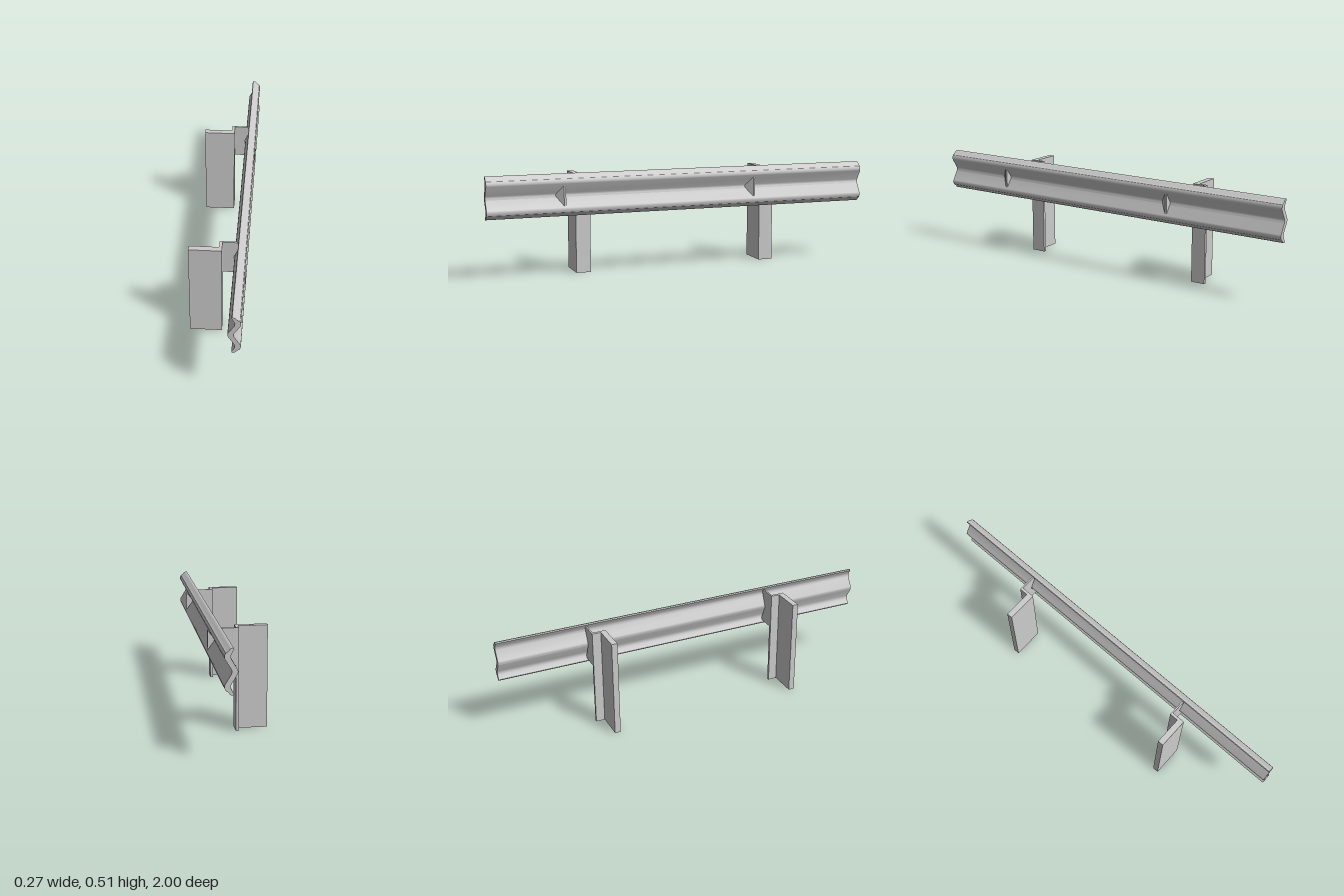
import * as THREE from 'three';
import { toCreasedNormals } from 'three/addons/utils/BufferGeometryUtils.js';

const MID = 0.41; // height of the rail's centre line
const material = new THREE.MeshStandardMaterial({ color: 0xcccccc });

// Closed shape from [x, y] points
function shapeOf(points) {
  return new THREE.Shape(points.map(([x, y]) => new THREE.Vector2(x, y)));
}

// Mirrors an upper half (top to centre, last point on the axis) below MID
function mirrored(upper) {
  const lower = upper.slice(0, -1).reverse().map(([x, y]) => [x, 2 * MID - y]);
  return [...upper, ...lower];
}

function extrude(points, depth, z) {
  const geometry = new THREE.ExtrudeGeometry(shapeOf(points), { depth, bevelEnabled: false });
  geometry.translate(0, 0, z);
  return geometry;
}

function addMesh(group, name, geometry) {
  const mesh = new THREE.Mesh(geometry, material);
  mesh.name = name;
  group.add(mesh);
}

// W-beam: corrugated sheet section swept along z
function railGeometry() {
  const outer = mirrored([
    [0.097, 0.515], [0.103, 0.514], [0.112, 0.51], [0.119, 0.5], [0.131, 0.493],
    [0.135, 0.484], [0.136, 0.476], [0.135, 0.468], [0.131, 0.461], [0.106, 0.42], [0.103, MID],
  ]);
  const inner = mirrored([
    [0.094, 0.509], [0.106, 0.488], [0.109, 0.479], [0.107, 0.466], [0.079, 0.42], [0.076, MID],
  ]);
  return toCreasedNormals(extrude([...outer, ...inner.reverse()], 2, -1), 0.6);
}

// Reflector: wedge sitting in the valley of the rail, sloping towards +z
function reflectorGeometry() {
  const h = 0.05, face = 0.136, root = 0.1;
  const p = [
    [root, MID, 0.66],
    [face, MID - h, 0.622], [face, MID + h, 0.622],
    [face, MID - h, 0.612], [face, MID + h, 0.612],
    [root, MID, 0.612],
  ];
  const faces = [[0, 1, 2], [1, 3, 4], [1, 4, 2], [3, 5, 4], [0, 2, 4], [0, 4, 5], [0, 3, 1], [0, 5, 3]];
  const geometry = new THREE.BufferGeometry();
  geometry.setAttribute('position', new THREE.Float32BufferAttribute(faces.flat().flatMap(i => p[i]), 3));
  geometry.computeVertexNormals();
  return geometry;
}

// Post: L section standing upright, wide flange at +z and web on the rail side
function postGeometry() {
  const section = [
    [-0.137, -0.535], [0.02, -0.535], [0.02, -0.46], [0.006, -0.46], [0.006, -0.505], [-0.137, -0.505],
  ];
  const geometry = extrude(section, 0.5, 0);
  geometry.rotateX(-Math.PI / 2);
  return geometry;
}

// Bracket: thin plate with a V notch that cradles the rail
function bracketGeometry() {
  const edge = mirrored([[0.1, 0.5], [0.107, 0.488], [0.072, MID]]);
  return extrude([[0.015, 0.5], [0.015, 0.32], ...edge.reverse()], 0.008, 0.46);
}

export function createModel() {
  const model = new THREE.Group();
  model.name = 'guardRail';
  addMesh(model, 'rail', railGeometry());

  const parts = { post: postGeometry(), bracket: bracketGeometry(), reflector: reflectorGeometry() };
  for (const [name, z] of [['frontSupport', 0], ['rearSupport', -1]]) {
    const support = new THREE.Group();
    support.name = name;
    support.position.z = z;
    for (const [part, geometry] of Object.entries(parts)) addMesh(support, part, geometry);
    model.add(support);
  }
  return model;
}
